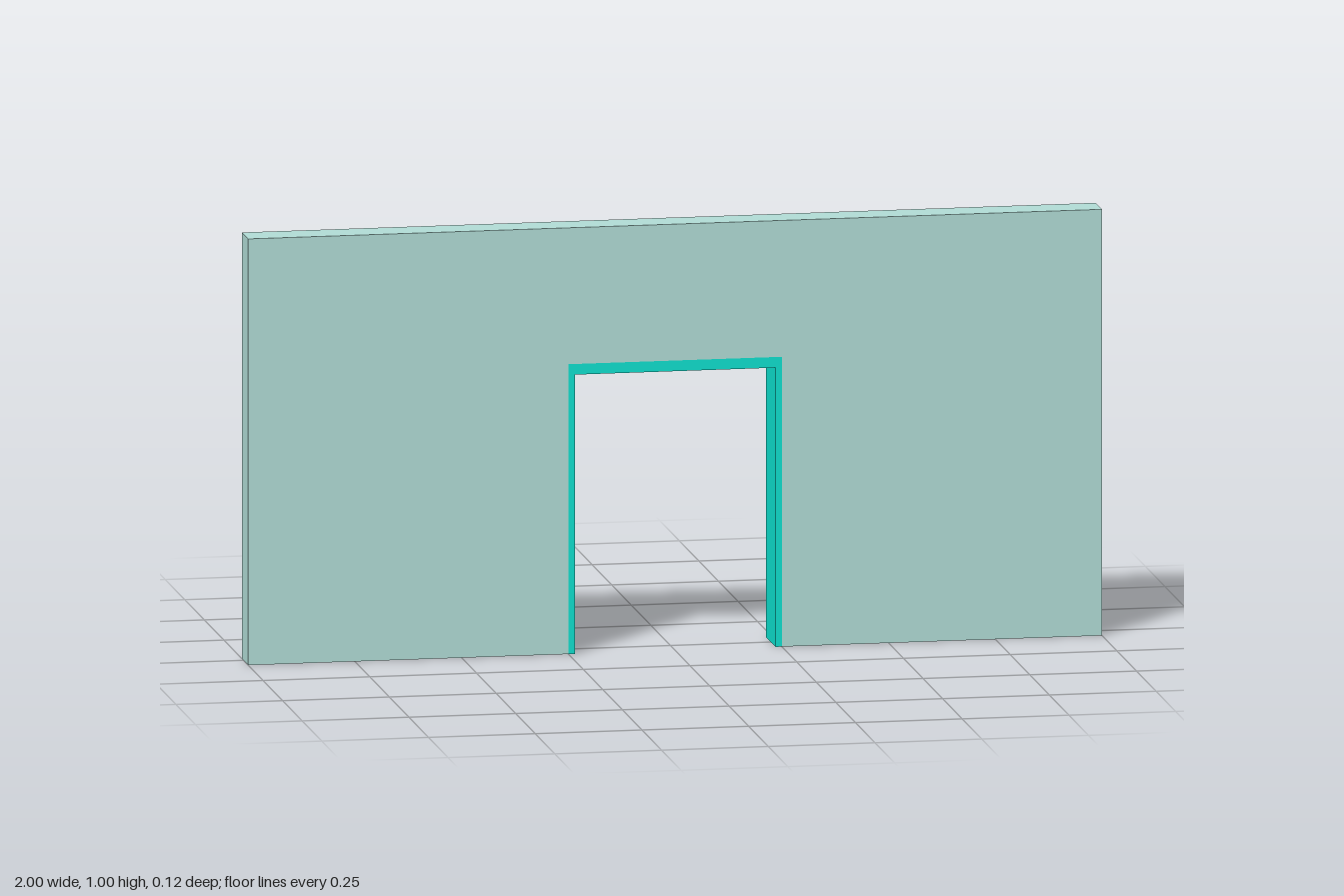
import * as THREE from 'three';

const OUTER = { x: 0.25, y: 0.68 }; // doorway cut in the wall
const INNER = { x: 0.235, y: 0.655 }; // clear opening inside the frame

// Upright slab with a doorway notch rising from the floor
function archSlab(name, halfWidth, height, notch, zBack, zFront, color) {
  const shape = new THREE.Shape([
    [-halfWidth, 0], [-notch.x, 0], [-notch.x, notch.y], [notch.x, notch.y],
    [notch.x, 0], [halfWidth, 0], [halfWidth, height], [-halfWidth, height],
  ].map(([x, y]) => new THREE.Vector2(x, y)));
  const geometry = new THREE.ExtrudeGeometry(shape, { depth: zFront - zBack, bevelEnabled: false });
  geometry.translate(0, 0, zBack);
  const mesh = new THREE.Mesh(geometry, new THREE.MeshStandardMaterial({ color }));
  mesh.name = name;
  return mesh;
}

export function createModel() {
  const group = new THREE.Group();
  group.name = 'wallWithDoorway';
  // Wall panel
  group.add(archSlab('wall', 1, 1, OUTER, -0.02, 0.06, 0xb0dbd5));
  // Door frame, flush with the front and standing proud at the back
  group.add(archSlab('doorFrame', OUTER.x, OUTER.y, INNER, -0.06, 0.06, 0x0ddfcd));
  return group;
}
